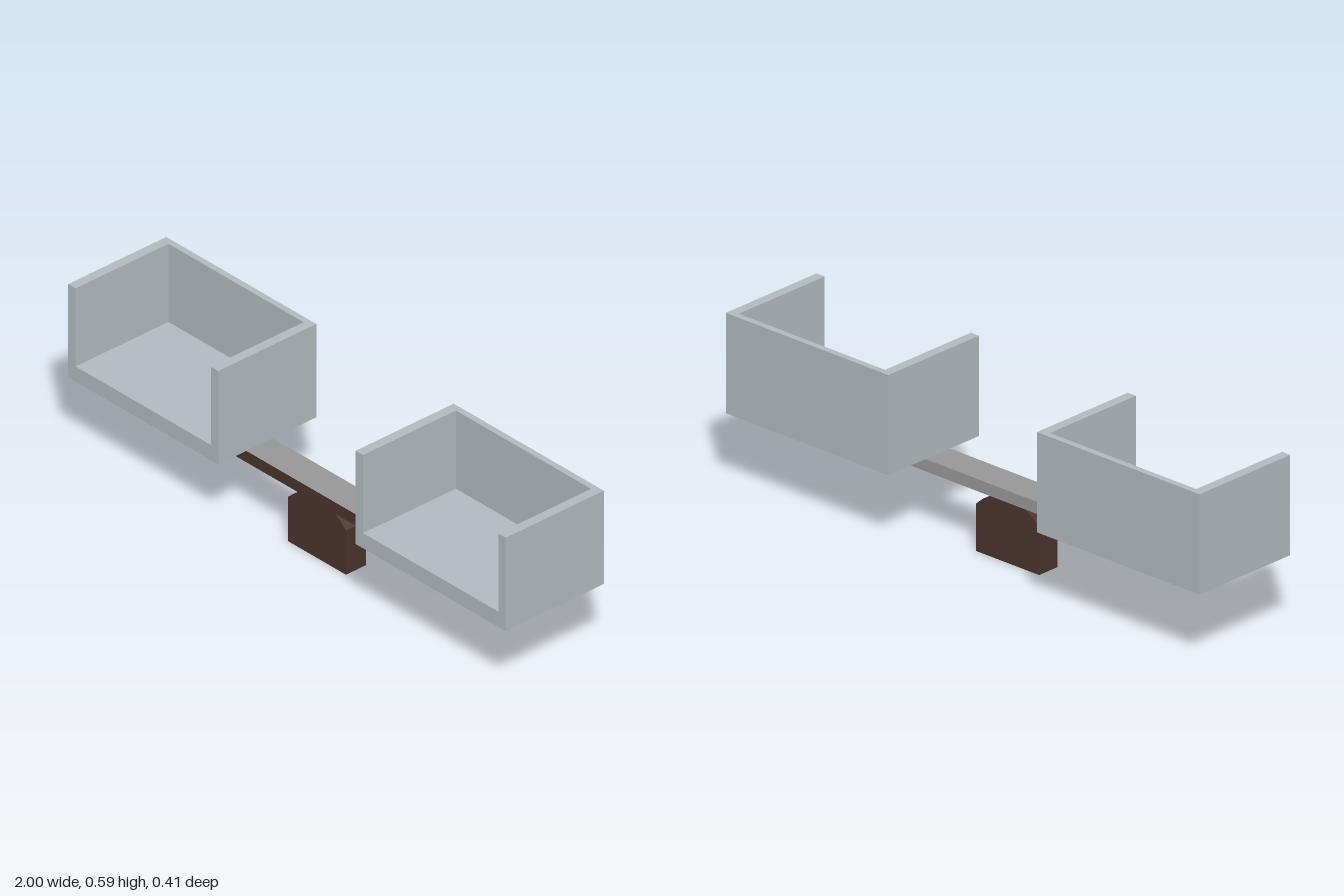
import * as THREE from 'three';

const paleBlueGrey = new THREE.MeshStandardMaterial({ color: 0xb0babe });
paleBlueGrey.name = 'pale blue grey';
const midGrey = new THREE.MeshStandardMaterial({ color: 0x979797 });
midGrey.name = 'mid grey';
const darkBrown = new THREE.MeshStandardMaterial({ color: 0x49342b });
darkBrown.name = 'dark brown';

// Box given by its limits on each axis
function block(name, [x0, x1], [y0, y1], [z0, z1], material) {
  const mesh = new THREE.Mesh(new THREE.BoxGeometry(x1 - x0, y1 - y0, z1 - z0), material);
  mesh.position.set((x0 + x1) / 2, (y0 + y1) / 2, (z0 + z1) / 2);
  mesh.name = name;
  return mesh;
}

// Grey block whose front face has another colour
const greyWithFront = (front) => [midGrey, midGrey, midGrey, midGrey, front, midGrey];

// Tray open at the top and front
function createTray(name, x0, x1) {
  const side = 0.034, bottom = 0.257, floor = 0.312, top = 0.595;
  const back = -0.204, inner = -0.182, front = 0.204;
  const tray = new THREE.Group();
  tray.name = name;
  tray.add(
    block('trayFloor', [x0, x1], [bottom, floor], [back, front], paleBlueGrey),
    block('trayBack', [x0, x1], [floor, top], [back, inner], paleBlueGrey),
    block('trayOuterSide', [x0, x0 + side], [floor, top], [inner, front], paleBlueGrey),
    block('trayInnerSide', [x1 - side, x1], [floor, top], [inner, front], paleBlueGrey)
  );
  return tray;
}

// Pivot block with rounded shoulders
function createPivot() {
  const half = [[0.133, 0], [0.133, 0.16], [0.108, 0.182], [0.075, 0.204], [0.04, 0.213]];
  const outline = [...half, ...half.map(([x, y]) => [-x, y]).reverse()];
  const shape = new THREE.Shape(outline.map(([x, y]) => new THREE.Vector2(x, y)));
  const geometry = new THREE.ExtrudeGeometry(shape, { depth: 0.083, bevelEnabled: false });
  const pivot = new THREE.Mesh(geometry, darkBrown);
  pivot.position.set(-0.0125, 0, -0.015);
  pivot.name = 'pivotBlock';
  return pivot;
}

export function createModel() {
  const model = new THREE.Group();
  model.name = 'balance';

  model.add(createPivot());
  model.add(block('beam', [-0.755, 0.73], [0.211, 0.252], [-0.028, 0.082], greyWithFront(darkBrown)));

  // Brackets holding the trays on the beam
  for (const [name, x] of [['rightBracket', -0.683], ['leftBracket', 0.661]]) {
    model.add(block(name, [x - 0.035, x + 0.035], [0.198, 0.2575], [-0.041, 0.095], greyWithFront(paleBlueGrey)));
  }

  model.add(createTray('rightTray', -1, -0.314), createTray('leftTray', 0.314, 1));
  return model;
}
